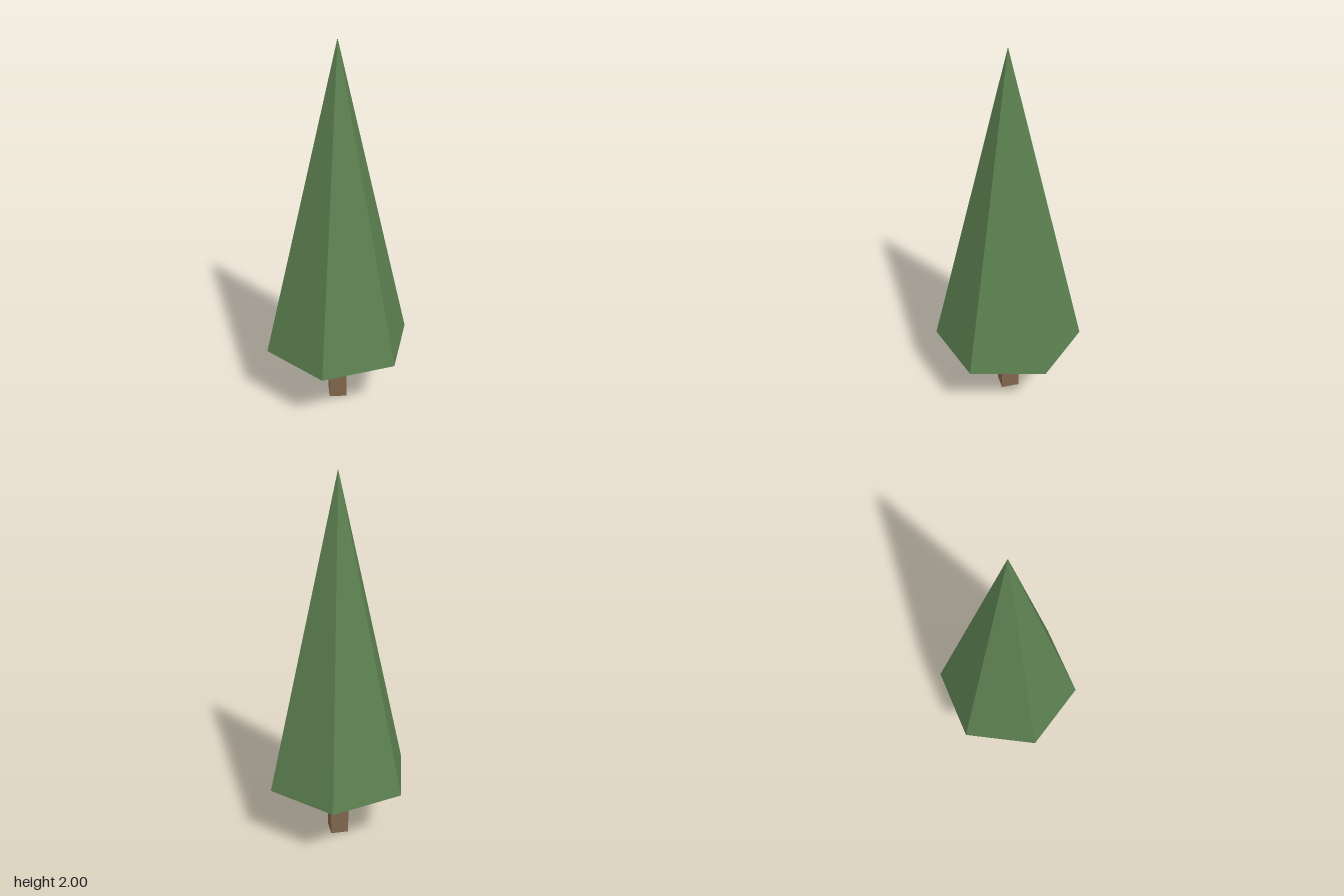
import * as THREE from 'three';

const GREEN = new THREE.MeshStandardMaterial({ color: 0x5c8050 });
GREEN.name = 'needle green';
GREEN.flatShading = true;
const BROWN = new THREE.MeshStandardMaterial({ color: 0x80664e });
BROWN.name = 'bark brown';
BROWN.flatShading = true;

const HEIGHT = 2;
const TRUNK_HEIGHT = 0.355;

// Adds a part standing on height y
function addPart(group, name, geometry, material, height, y) {
  const mesh = new THREE.Mesh(geometry, material);
  mesh.name = name;
  mesh.position.y = y + height / 2;
  group.add(mesh);
}

export function createModel() {
  const tree = new THREE.Group();
  tree.name = 'coniferTree';

  // Four-sided trunk, corners on the axes
  addPart(tree, 'trunk', new THREE.CylinderGeometry(0.067, 0.067, TRUNK_HEIGHT, 4), BROWN, TRUNK_HEIGHT, 0);

  // Six-sided foliage cone, one corner facing the front
  const coneHeight = HEIGHT - TRUNK_HEIGHT;
  addPart(tree, 'foliage', new THREE.ConeGeometry(0.39, coneHeight, 6), GREEN, coneHeight, TRUNK_HEIGHT);

  return tree;
}
